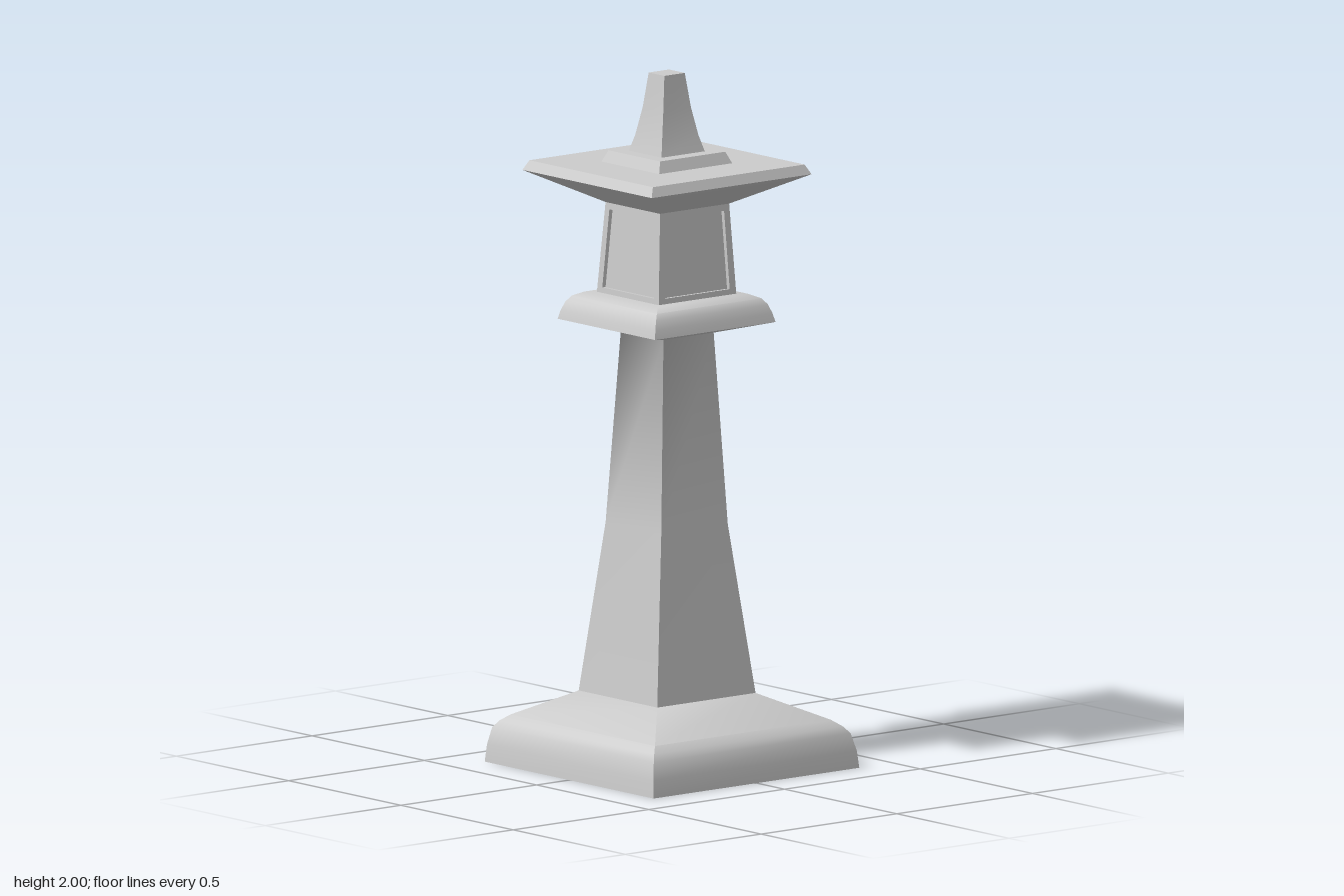
import * as THREE from 'three';
import { toCreasedNormals } from 'three/addons/utils/BufferGeometryUtils.js';

const material = new THREE.MeshStandardMaterial({ color: 0xcccccc });

// Skins a series of four-cornered rings, closing the ends on request
function skin(name, rings, crease, capStart = true, capEnd = true) {
  const position = [];
  const quad = (a, b, c, d) => [a, b, c, a, c, d].forEach(p => position.push(p.x, p.y, p.z));
  for (let r = 0; r < rings.length - 1; r++) {
    const lower = rings[r], upper = rings[r + 1];
    for (let i = 0; i < 4; i++) {
      const j = (i + 1) % 4;
      quad(lower[i], lower[j], upper[j], upper[i]);
    }
  }
  if (capStart) quad(...[...rings[0]].reverse());
  if (capEnd) quad(...rings[rings.length - 1]);
  const geometry = new THREE.BufferGeometry();
  geometry.setAttribute('position', new THREE.Float32BufferAttribute(position, 3));
  const mesh = new THREE.Mesh(toCreasedNormals(geometry, crease), material);
  mesh.name = name;
  return mesh;
}

// Rectangular ring at height y, from x0 to x1 and -hz to hz
const ring = ([y, x0, x1, hz]) => [[x0, hz], [x1, hz], [x1, -hz], [x0, -hz]]
  .map(([x, z]) => new THREE.Vector3(x, y, z));

const stack = (name, levels, crease) => skin(name, levels.map(ring), crease);

// One lantern side: a frame around a sunken pane
function windowSide(name, outer) {
  const [bl, br, tr, tl] = outer;
  const at = (u, v) => bl.clone().lerp(br, u).lerp(tl.clone().lerp(tr, u), v);
  const inner = [at(0.08, 0.07), at(0.92, 0.07), at(0.92, 0.91), at(0.08, 0.91)];
  const normal = br.clone().sub(bl).cross(tl.clone().sub(bl)).normalize();
  const sunken = inner.map(p => p.clone().addScaledVector(normal, -0.012));
  return skin(name, [outer, inner, sunken], 0.3, false, true);
}

export function createModel() {
  const model = new THREE.Group();
  model.name = 'stoneLantern';

  // Rounded plinth
  model.add(stack('base', [
    [0, -0.38, 0.378, 0.376], [0.05, -0.376, 0.373, 0.371], [0.1, -0.366, 0.359, 0.36],
    [0.12, -0.352, 0.342, 0.345], [0.138, -0.33, 0.318, 0.322], [0.213, -0.2, 0.162, 0.175],
  ], 0.75));

  // Tapered shaft blending into the flare beneath the platform
  model.add(skin('column', [
    [0.213, -0.2, 0.162, 0.175], [0.7, -0.143, 0.102, 0.124],
    [1.252, -0.111, 0.074, 0.095], [1.285, -0.243, 0.201, 0.217],
  ].map(ring), 1.4, false, false));

  // Platform with rounded shoulders
  model.add(stack('platform', [
    [1.285, -0.243, 0.201, 0.217], [1.31, -0.237, 0.195, 0.211], [1.335, -0.227, 0.186, 0.202],
    [1.353, -0.213, 0.173, 0.189], [1.365, -0.188, 0.146, 0.163],
  ], 0.75).translateY(0));

  // Lantern chamber with a framed window on each side
  const chamber = new THREE.Group();
  chamber.name = 'lanternChamber';
  const foot = ring([1.362, -0.164, 0.122, 0.138]);
  const head = ring([1.63, -0.145, 0.109, 0.121]);
  ['front', 'left', 'back', 'right'].forEach((side, i) => {
    const j = (i + 1) % 4;
    chamber.add(windowSide(side + 'Window', [foot[i], foot[j], head[j], head[i]]));
  });
  model.add(chamber);

  // Wide roof with sloping eaves
  model.add(stack('roof', [
    [1.624, -0.145, 0.109, 0.121], [1.713, -0.314, 0.275, 0.288], [1.741, -0.299, 0.26, 0.275],
  ], 0.8));

  // Bevelled step and flared finial
  model.add(stack('roofStep', [[1.74, -0.155, 0.115, 0.129], [1.774, -0.14, 0.1, 0.115]], 0.3));
  model.add(stack('finial', [
    [1.773, -0.1, 0.06, 0.073], [1.82, -0.087, 0.047, 0.06],
    [1.9, -0.071, 0.031, 0.046], [2, -0.058, 0.017, 0.035],
  ], 0.5));

  return model;
}
